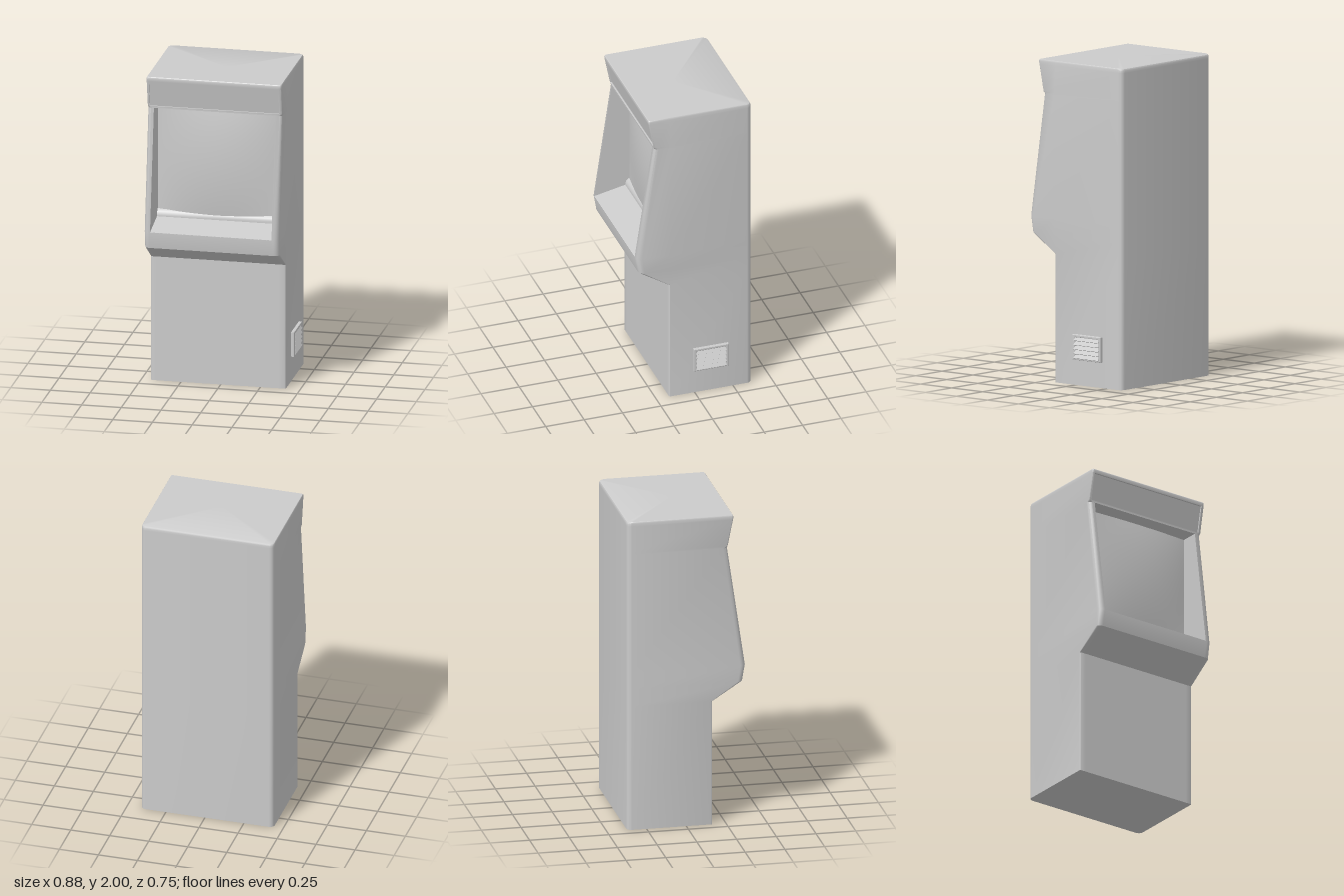
import * as THREE from 'three';
import { toCreasedNormals } from 'three/addons/utils/BufferGeometryUtils.js';

const LEFT = -0.44, RIGHT = 0.41, BACK = -0.372;

// Quarter-circle corner, from angle a0 to a0 - 90 degrees in the x/z plane
function corner(cx, cz, r, a0, steps = 5) {
  return Array.from({ length: steps + 1 }, (_, i) => {
    const a = a0 - (i / steps) * Math.PI / 2;
    return [cx + r * Math.cos(a), cz + r * Math.sin(a)];
  });
}

// One horizontal cross-section of the cabinet; the front may hold a recess
function section({ y, front, r, bulge = 0, x0 = -0.4, x1 = 0.365, depth = 0, inset = 0 }) {
  const back = BACK + inset, br = 0.03, f = front;
  const right = RIGHT - inset * 0.3, left = LEFT + inset * 0.3;
  const pts = [
    ...corner(left + r, f - r, r, Math.PI),
    [x0, f], [x0, f - depth], [x1, f - depth], [x1, f],
    ...corner(right - r, f - r, r, Math.PI / 2),
    [right + bulge, Math.min(0.16, f - r)],
    ...corner(right - br, back + br, br, 0),
    ...corner(left + br, back + br, br, -Math.PI / 2),
  ];
  return pts.map(([x, z]) => new THREE.Vector3(x, y, z));
}

// Skin a stack of equal-length loops and close both ends
function loft(loops) {
  const pos = [], n = loops[0].length;
  const tri = (a, b, c) => {
    const area = b.clone().sub(a).cross(c.clone().sub(a)).length();
    if (area > 1e-9) pos.push(...a.toArray(), ...b.toArray(), ...c.toArray());
  };
  for (let i = 0; i + 1 < loops.length; i++) {
    for (let j = 0; j < n; j++) {
      const k = (j + 1) % n, lo = loops[i], hi = loops[i + 1];
      tri(lo[j], lo[k], hi[k]);
      tri(lo[j], hi[k], hi[j]);
    }
  }
  const cap = (loop, up) => {
    const c = new THREE.Vector3(0, loop[0].y, 0);
    for (let j = 0; j < n; j++) {
      const a = loop[j], b = loop[(j + 1) % n];
      up ? tri(c, a, b) : tri(c, b, a);
    }
  };
  cap(loops[0], false);
  cap(loops[loops.length - 1], true);
  const geo = new THREE.BufferGeometry();
  geo.setAttribute('position', new THREE.Float32BufferAttribute(pos, 3));
  return toCreasedNormals(geo, 0.5);
}

// Extrude a z/y profile along x from x0 to x1
function extrudeAcross(points, x0, x1) {
  const shape = new THREE.Shape(points.map(([z, y]) => new THREE.Vector2(-z, y)));
  const geo = new THREE.ExtrudeGeometry(shape, { depth: x1 - x0, bevelEnabled: false });
  geo.rotateY(Math.PI / 2).translate(x0, 0, 0);
  return toCreasedNormals(geo, 0.6);
}

export function createModel() {
  const group = new THREE.Group();
  group.name = 'arcadeCabinet';
  const material = new THREE.MeshStandardMaterial({ color: 0xcccccc });
  const thin = new THREE.MeshStandardMaterial({ color: 0xcccccc, side: THREE.DoubleSide });
  const add = (name, geo, mat = material, parent = group) => {
    const mesh = new THREE.Mesh(geo, mat);
    mesh.name = name;
    parent.add(mesh);
    return mesh;
  };

  // Cabinet shell: base, overhanging control shelf, screen bay, sign box
  const sign = { x0: -0.425, x1: 0.39, r: 0.01 };
  add('cabinetShell', loft([
    { y: 0, front: 0.165, r: 0.01 },
    { y: 0.8, front: 0.165, r: 0.01 },
    { y: 0.915, front: 0.357, r: 0.033, bulge: 0.009 },
    { y: 1.02, front: 0.375, r: 0.035, bulge: 0.017 },
    { y: 1.02, front: 0.375, r: 0.035, bulge: 0.017, depth: 0.275 },
    { y: 1.79, front: 0.261, r: 0.03, bulge: 0.017, depth: 0.161 },
    { y: 1.79, front: 0.261, r: 0.03, bulge: 0.017 },
    { ...sign, y: 1.803, front: 0.262, bulge: 0.016 },
    { ...sign, y: 1.803, front: 0.262, bulge: 0.016, depth: 0.01 },
    { ...sign, y: 1.972, front: 0.296, bulge: 0.002, depth: 0.01 },
    { ...sign, y: 1.972, front: 0.296, bulge: 0.002 },
    { ...sign, y: 1.988, front: 0.299 },
    { ...sign, y: 1.996, front: 0.297, inset: 0.004 },
    { ...sign, y: 2, front: 0.293, inset: 0.012 },
  ].map(section)));

  // Sloping control shelf with a rounded lip below the screen
  add('controlShelf', extrudeAcross([
    [0.374, 1.015], [0.374, 1.021], [0.172, 1.063], [0.172, 1.078],
    [0.165, 1.093], [0.153, 1.105], [0.135, 1.113], [0.1, 1.115], [0.1, 1.015],
  ], -0.4, 0.365));

  // Bulging screen
  const screen = new THREE.PlaneGeometry(0.765, 0.74, 24, 16);
  const p = screen.attributes.position;
  for (let i = 0; i < p.count; i++) {
    const u = p.getX(i) / 0.3825, v = p.getY(i) / 0.37;
    p.setZ(i, (1 - u * u) * (0.014 + 0.03 * (1 - v * v)));
  }
  screen.translate(-0.0175, 1.42, 0.146);
  screen.computeVertexNormals();
  add('screen', screen, thin);

  // Louvred vent on the side of the base
  const vent = new THREE.Group();
  vent.name = 'sideVent';
  vent.position.set(RIGHT, 0.238, -0.103);
  group.add(vent);
  const rect = (path, w, h) => path.moveTo(-w, -h).lineTo(w, -h).lineTo(w, h).lineTo(-w, h).closePath();
  const frame = rect(new THREE.Shape(), 0.11, 0.075);
  frame.holes.push(rect(new THREE.Path(), 0.097, 0.066));
  const frameGeo = new THREE.ExtrudeGeometry(frame, {
    depth: 0.016, bevelThickness: 0.004, bevelSize: 0.004, bevelSegments: 2,
  });
  add('ventFrame', frameGeo.rotateY(Math.PI / 2), material, vent);
  for (let i = 0; i < 5; i++) {
    const slat = add('ventSlat', new THREE.BoxGeometry(0.006, 0.034, 0.196), material, vent);
    slat.position.set(0.014, (i - 2) * 0.0275, 0);
    slat.rotation.z = 0.6;
  }

  return group;
}
